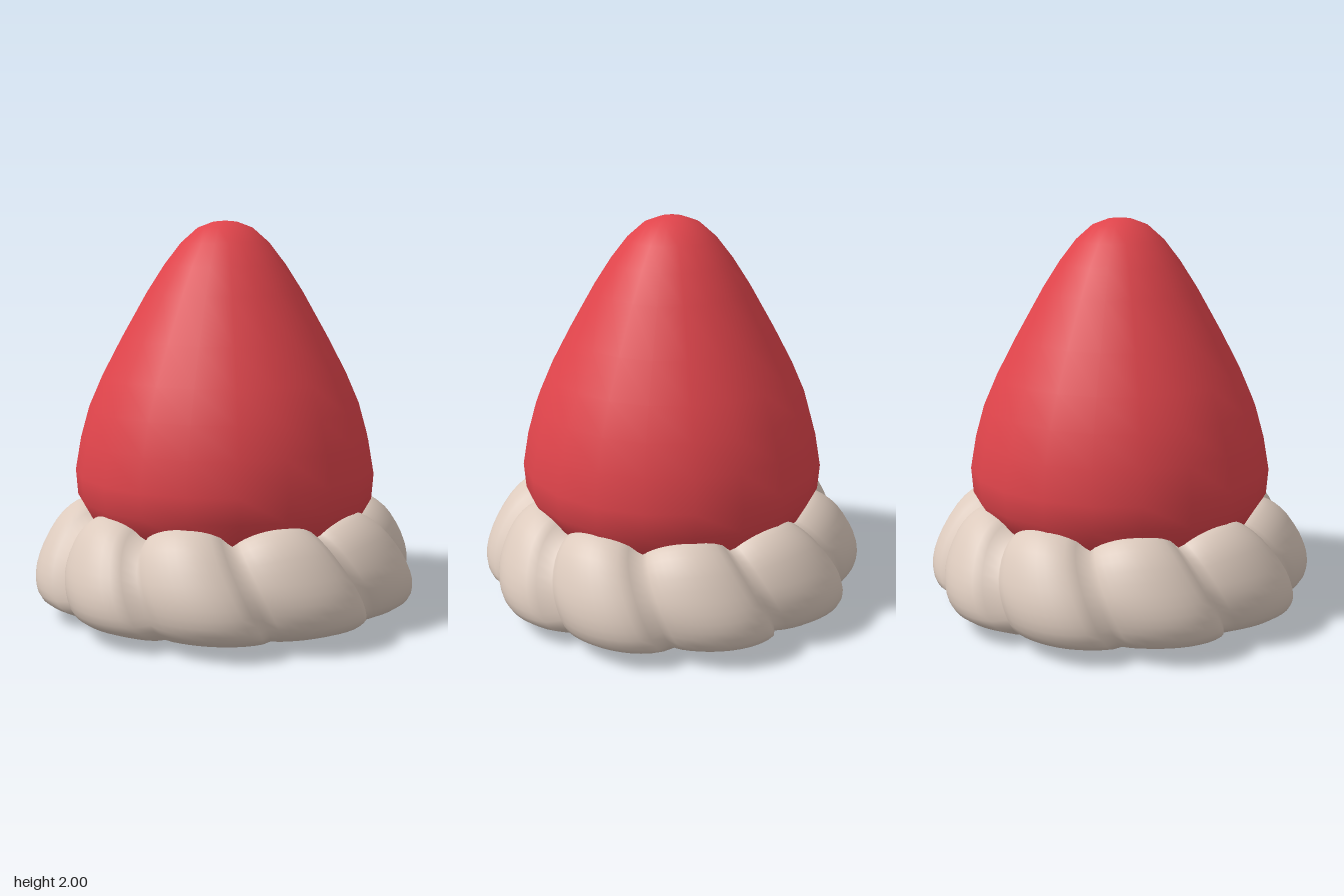
import * as THREE from 'three';

const LOBES = 10, STEPS = 12, ROWS = 20;
const v2 = (list) => list.map(([x, y]) => new THREE.Vector2(x, y));

// Twisted fur roll: the section blends between a lobe crest and a groove
function furGeometries() {
  const crest = new THREE.SplineCurve(v2([[0.6, 0.49], [0.69, 0.565], [0.77, 0.56], [0.87, 0.48],
    [0.96, 0.33], [0.995, 0.2], [0.965, 0.1], [0.84, 0.04]]));
  const groove = new THREE.SplineCurve(v2([[0.58, 0.42], [0.65, 0.48], [0.72, 0.47], [0.8, 0.41],
    [0.865, 0.31], [0.885, 0.2], [0.87, 0.1], [0.8, 0.045]]));
  const cols = LOBES * STEPS;
  const pos = [], idx = [], rim = [0, 0, 0], rimIdx = [];
  for (let i = 0; i < cols; i++) {
    const t = (i % STEPS) / STEPS;
    // Rounded lobe, steeper on one side
    const g = Math.pow(Math.abs(Math.sin(Math.PI * Math.pow(t, 0.75))), 0.7);
    const next = (i + 1) % cols;
    for (let j = 0; j <= ROWS; j++) {
      const p = groove.getPoint(j / ROWS).lerp(crest.getPoint(j / ROWS), g);
      const twist = 60 + 29 * p.y;
      const a = THREE.MathUtils.degToRad(twist + (i * 360) / cols);
      const v = [p.x * Math.cos(a), p.y, p.x * Math.sin(a)];
      pos.push(...v);
      if (j === ROWS) rim.push(...v);
      else {
        const a0 = i * (ROWS + 1) + j, c0 = next * (ROWS + 1) + j;
        idx.push(a0, c0, a0 + 1, c0, c0 + 1, a0 + 1);
      }
    }
    rimIdx.push(0, i + 1, next + 1);
  }
  return [[pos, idx], [rim, rimIdx]].map(([p, ix]) => {
    const geo = new THREE.BufferGeometry();
    geo.setAttribute('position', new THREE.Float32BufferAttribute(p, 3));
    geo.setIndex(ix);
    geo.computeVertexNormals();
    return geo;
  });
}

export function createModel() {
  const red = new THREE.MeshStandardMaterial({ color: 0xe0444b });
  red.name = 'red felt';
  const cream = new THREE.MeshStandardMaterial({ color: 0xdccabd });
  cream.name = 'cream fur';

  const group = new THREE.Group();
  group.name = 'hat';
  const add = (name, geo, mat) => {
    const mesh = new THREE.Mesh(geo, mat);
    mesh.name = name;
    group.add(mesh);
  };

  // Rounded cone, twenty-sided
  const profile = v2([[0, 0.3], [0.5, 0.34], [0.63, 0.42], [0.71, 0.5], [0.765, 0.6], [0.775, 0.73],
    [0.745, 0.9], [0.7, 1.06], [0.63, 1.22], [0.53, 1.41], [0.4, 1.64], [0.31, 1.78], [0.225, 1.89],
    [0.14, 1.965], [0.06, 1.995], [0, 2]]);
  add('cone', new THREE.LatheGeometry(profile, 20), red);

  // Fur trim and its underside
  const [roll, underside] = furGeometries();
  add('furTrim', roll, cream);
  add('furUnderside', underside, cream);
  return group;
}
